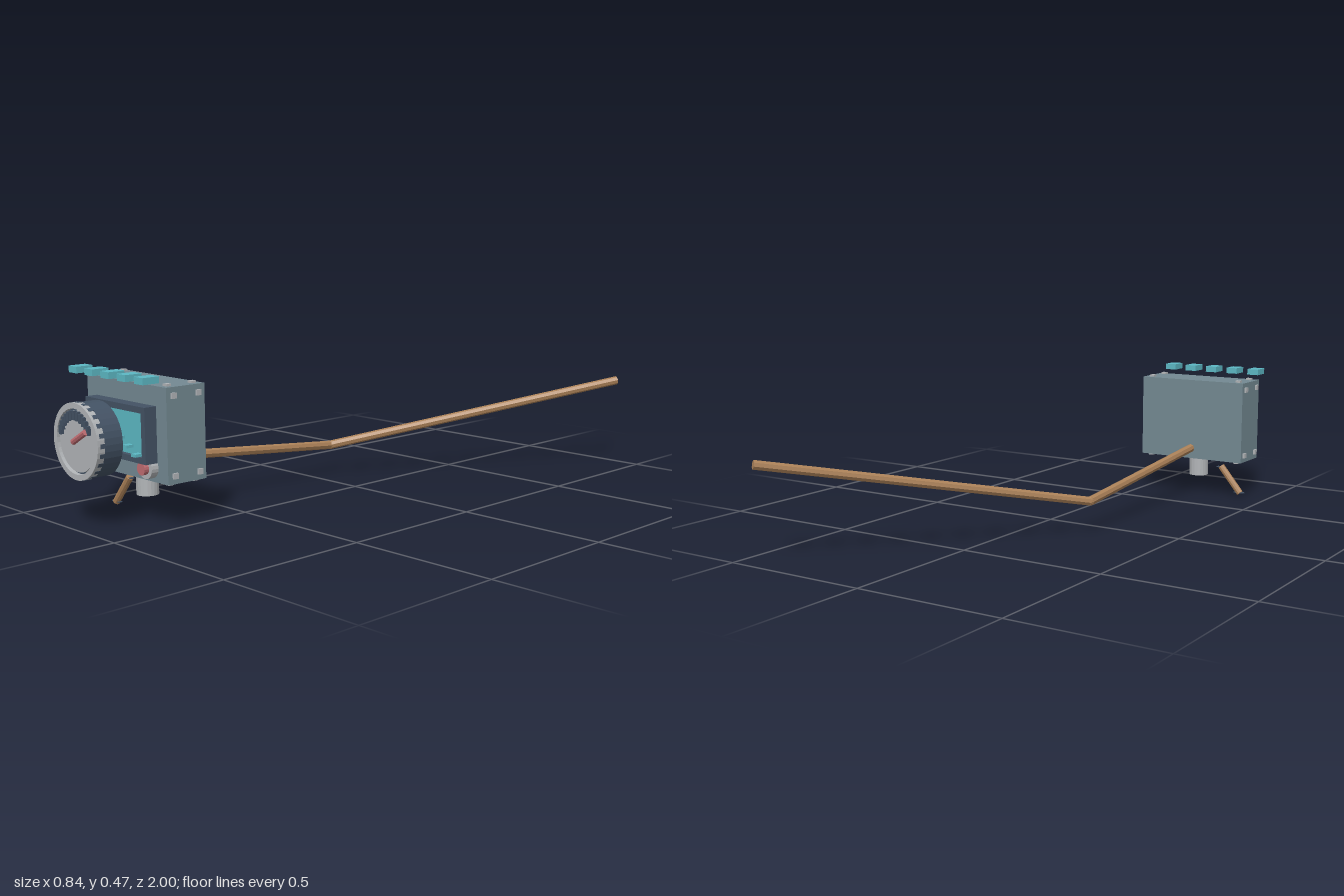
import * as THREE from 'three';

const mat = (name, color) => {
  const m = new THREE.MeshStandardMaterial({ color, flatShading: true });
  m.name = name;
  return m;
};

export function createModel() {
  const body = mat('slate casing', 0x738992);
  const dark = mat('dark trim', 0x435264);
  const metal = mat('light metal', 0xb1b4b7);
  const teal = mat('teal', 0x5cb8c4);
  const red = mat('muted red', 0xbf6c71);
  const wood = mat('wood', 0xab8158);

  const root = new THREE.Group();
  root.name = 'handheldDetector';
  const add = (name, geo, m, x = 0, y = 0, z = 0) => {
    const mesh = new THREE.Mesh(geo, m);
    mesh.name = name;
    mesh.position.set(x, y, z);
    root.add(mesh);
    return mesh;
  };
  const box = (name, m, w, h, d, x, y, z) => add(name, new THREE.BoxGeometry(w, h, d), m, x, y, z);
  // Disc or drum whose axis points forward, from z0 to z1
  const drum = (name, m, r, z0, z1, x, y, sides = 32) =>
    add(name, new THREE.CylinderGeometry(r, r, z1 - z0, sides).rotateX(Math.PI / 2), m, x, y, (z0 + z1) / 2);
  // Round rod between two points
  const rod = (name, m, a, b, r, sides = 8) => {
    const from = new THREE.Vector3(...a), to = new THREE.Vector3(...b);
    const dir = to.clone().sub(from);
    const mesh = add(name, new THREE.CylinderGeometry(r, r, dir.length(), sides), m);
    mesh.position.copy(from).add(to).multiplyScalar(0.5);
    mesh.quaternion.setFromUnitVectors(new THREE.Vector3(0, 1, 0), dir.normalize());
    return mesh;
  };
  // Flat ring or frame extruded forward from z0 to z1
  const plate = (name, m, shape, z0, z1, x, y) =>
    add(name, new THREE.ExtrudeGeometry(shape, { depth: z1 - z0, bevelEnabled: false, curveSegments: 20 }), m, x, y, z0);
  const rect = (C, w, h) => new C([[-w, -h], [w, -h], [w, h], [-w, h]].map(([x, y]) => new THREE.Vector2(x / 2, y / 2)));
  const ring = (outer, inner) => {
    const s = new THREE.Shape().absarc(0, 0, outer, 0, Math.PI * 2);
    s.holes.push(new THREE.Path().absarc(0, 0, inner, 0, Math.PI * 2, true));
    return s;
  };

  // Casing with small bolts on top, bottom and sides
  const cx = -0.21, cy = 0.286, cz = 0.7245;
  box('casing', body, 0.415, 0.298, 0.145, cx, cy, cz);
  for (const sx of [-1, 1]) for (const sy of [-1, 1]) for (const sz of [-1, 1]) {
    box('capBolt', metal, 0.018, 0.014, 0.018, cx + sx * 0.179, cy + sy * 0.149, cz + sz * 0.047);
    box('sideBolt', metal, 0.014, 0.018, 0.018, cx + sx * 0.2075, cy + sy * 0.123, cz + sz * 0.047);
  }

  // Display frame, screen and raised marks
  const frame = rect(THREE.Shape, 0.311, 0.175);
  frame.holes.push(rect(THREE.Path, 0.272, 0.136));
  plate('displayFrame', dark, frame, 0.797, 0.84, cx, 0.286);
  box('screen', teal, 0.272, 0.136, 0.03, cx, 0.287, 0.812);
  for (let i = 0; i < 6; i++) {
    box('screenMark', teal, 0.022, 0.009, 0.03, cx - 0.11 + i * 0.044, 0.333 - i * 0.022, 0.838);
  }

  // Two push buttons on round bases
  [[-0.337, teal], [-0.084, red]].forEach(([x, m]) => {
    drum('buttonBase', metal, 0.034, 0.795, 0.822, x, 0.182, 20);
    drum('button', m, 0.02, 0.82, 0.838, x, 0.182, 16);
  });

  // Row of keys above the casing
  for (let i = 0; i < 5; i++) box('key', teal, 0.043, 0.021, 0.06, cx + (i - 2) * 0.087, 0.46, 0.842);

  // Large gauge: drum, rim, gripping teeth and face
  const gy = 0.269;
  drum('gaugeDrum', dark, 0.117, 0.893, 0.968, cx, gy, 36);
  plate('gaugeRim', metal, ring(0.119, 0.101), 0.958, 0.983, cx, gy);
  drum('gaugeFace', metal, 0.095, 0.96, 0.976, cx, gy, 36);
  for (let i = 0; i < 24; i++) {
    const a = (i / 24) * Math.PI * 2;
    const tooth = box('rimTooth', dark, 0.006, 0.014, 0.018, cx + Math.cos(a) * 0.1165, gy + Math.sin(a) * 0.1165, 0.965);
    tooth.rotation.z = a;
  }
  // Scale blocks stand upright along an arc
  for (let i = 0; i < 12; i++) {
    const a = THREE.MathUtils.degToRad(160 - i * 11.7);
    box('scaleBlock', dark, 0.011, 0.028, 0.014, cx + Math.cos(a) * 0.081, gy + Math.sin(a) * 0.081, 0.981);
  }
  rod('needle', red, [-0.21, 0.27, 0.99], [-0.142, 0.308, 0.99], 0.01);

  // Socket below the casing
  add('socket', new THREE.CylinderGeometry(0.036, 0.036, 0.08, 20), metal, cx, 0.104, cz);

  // Short slanted grip with thin end tabs
  rod('shortGrip', wood, [-0.385, 0.008, cz], [-0.305, 0.104, cz], 0.0125, 10);
  box('gripTab', dark, 0.04, 0.003, 0.014, -0.382, 0.01, cz);
  box('gripTab', dark, 0.03, 0.003, 0.014, -0.304, 0.101, cz);

  // Long bent pole at the back
  const bend = [cx, 0.106, -0.083];
  rod('poleNear', wood, [cx, 0.178, 0.68], bend, 0.0155);
  rod('poleFar', wood, bend, [0.405, 0.311, -0.99], 0.0155);
  add('poleJoint', new THREE.SphereGeometry(0.0155, 8, 6), wood, ...bend);

  return root;
}
